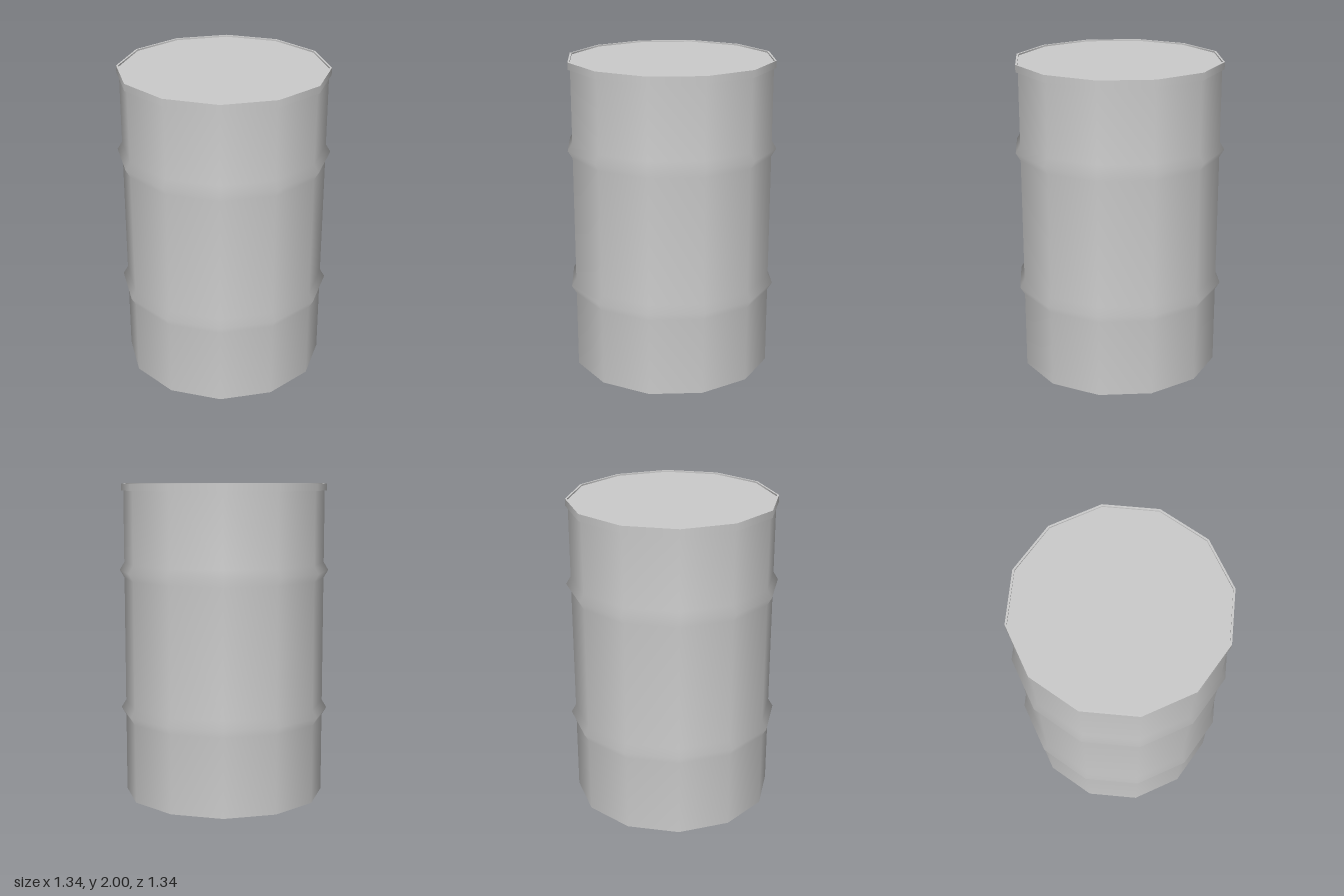
import * as THREE from 'three';
import { mergeGeometries } from 'three/addons/utils/BufferGeometryUtils.js';

const SIDES = 12;
const material = new THREE.MeshStandardMaterial({ color: 0xcccccc });

// Revolves each profile run on its own, so edges between runs stay sharp.
function revolve(name, runs) {
  const parts = runs.map((run) =>
    new THREE.LatheGeometry(run.map(([r, y]) => new THREE.Vector2(r, y)), SIDES));
  const mesh = new THREE.Mesh(mergeGeometries(parts), material);
  mesh.name = name;
  return mesh;
}

export function createModel() {
  const group = new THREE.Group();
  group.name = 'barrel';

  const bodyR = 0.64, ribR = 0.67, lidR = 0.655, innerR = 0.643;
  const lidY = 1.955, topY = 2, panelY = 1.99;

  // Body wall with two pointed hoops
  const wall = [[bodyR, 0]];
  for (const y of [0.55, 1.45]) {
    wall.push([bodyR, y - 0.05], [ribR, y], [bodyR, y + 0.05]);
  }
  wall.push([bodyR, lidY]);
  group.add(revolve('body', [wall]));

  // Flat base
  group.add(revolve('base', [[[0, 0], [bodyR, 0]]]));

  // Lid rim: underside, outer band, top lip and inner step
  group.add(revolve('lidRim', [
    [[bodyR, lidY], [lidR, lidY]],
    [[lidR, lidY], [lidR, topY]],
    [[lidR, topY], [innerR, topY]],
    [[innerR, topY], [innerR, panelY]],
  ]));

  // Slightly sunken lid panel
  group.add(revolve('lidPanel', [[[innerR, panelY], [0, panelY]]]));

  return group;
}
